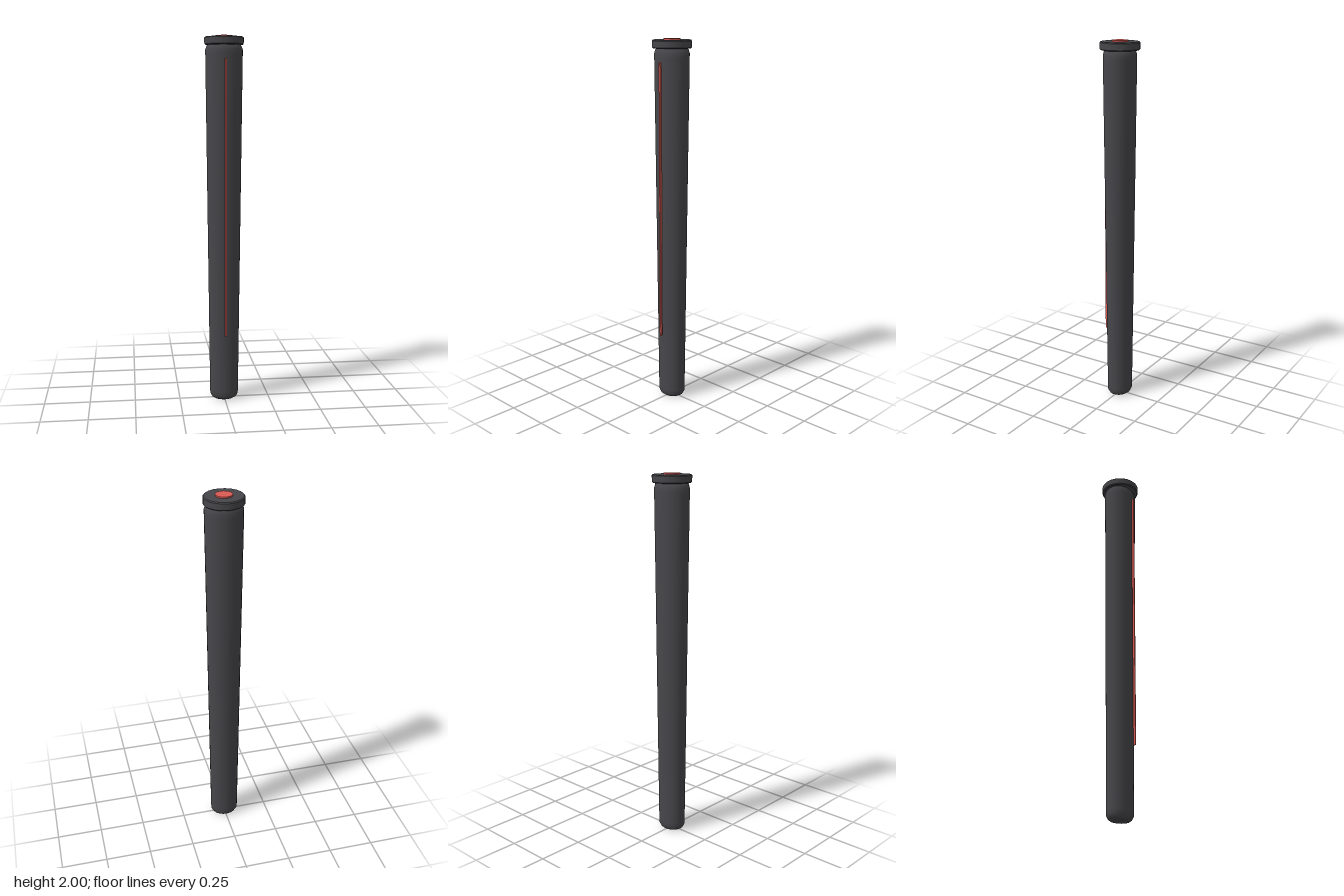
import * as THREE from 'three';

export function createModel() {
  const group = new THREE.Group();
  const charcoal = new THREE.MeshStandardMaterial({ color: 0x47474b });
  charcoal.name = 'charcoal';
  const red = new THREE.MeshStandardMaterial({ color: 0xdb5a53 });
  red.name = 'red';

  const add = (name, geometry, material) => {
    const mesh = new THREE.Mesh(geometry, material);
    mesh.name = name;
    group.add(mesh);
    return mesh;
  };
  const lathe = (points, sides) =>
    new THREE.LatheGeometry(points.map(([r, y]) => new THREE.Vector2(r, y)), sides);

  // Tapered oval handle with softened ends
  const body = add('handle', lathe([
    [0, 0], [0.055, 0], [0.068, 0.008], [0.078, 0.025], [0.079, 0.05],
    [0.1, 1.9], [0.1, 1.925], [0.094, 1.943], [0.085, 1.953], [0, 1.953],
  ], 24), charcoal);
  body.scale.z = 0.84;

  // Round end cap with a small bevel
  add('endCap', lathe([
    [0, 1.95], [0.099, 1.95], [0.099, 1.95], [0.105, 1.955], [0.105, 1.955],
    [0.105, 1.988], [0.105, 1.988], [0.1, 1.993], [0.1, 1.993], [0, 1.993],
  ], 20), charcoal);

  // Button set into the cap
  const button = add('button', new THREE.CylinderGeometry(0.044, 0.044, 0.02, 32), red);
  button.position.y = 1.99;

  // Straight accent line standing along the front
  const line = add('accentLine', new THREE.BoxGeometry(0.008, 1.5, 0.012), red);
  line.position.set(0, 1.13, 0.088);

  return group;
}
